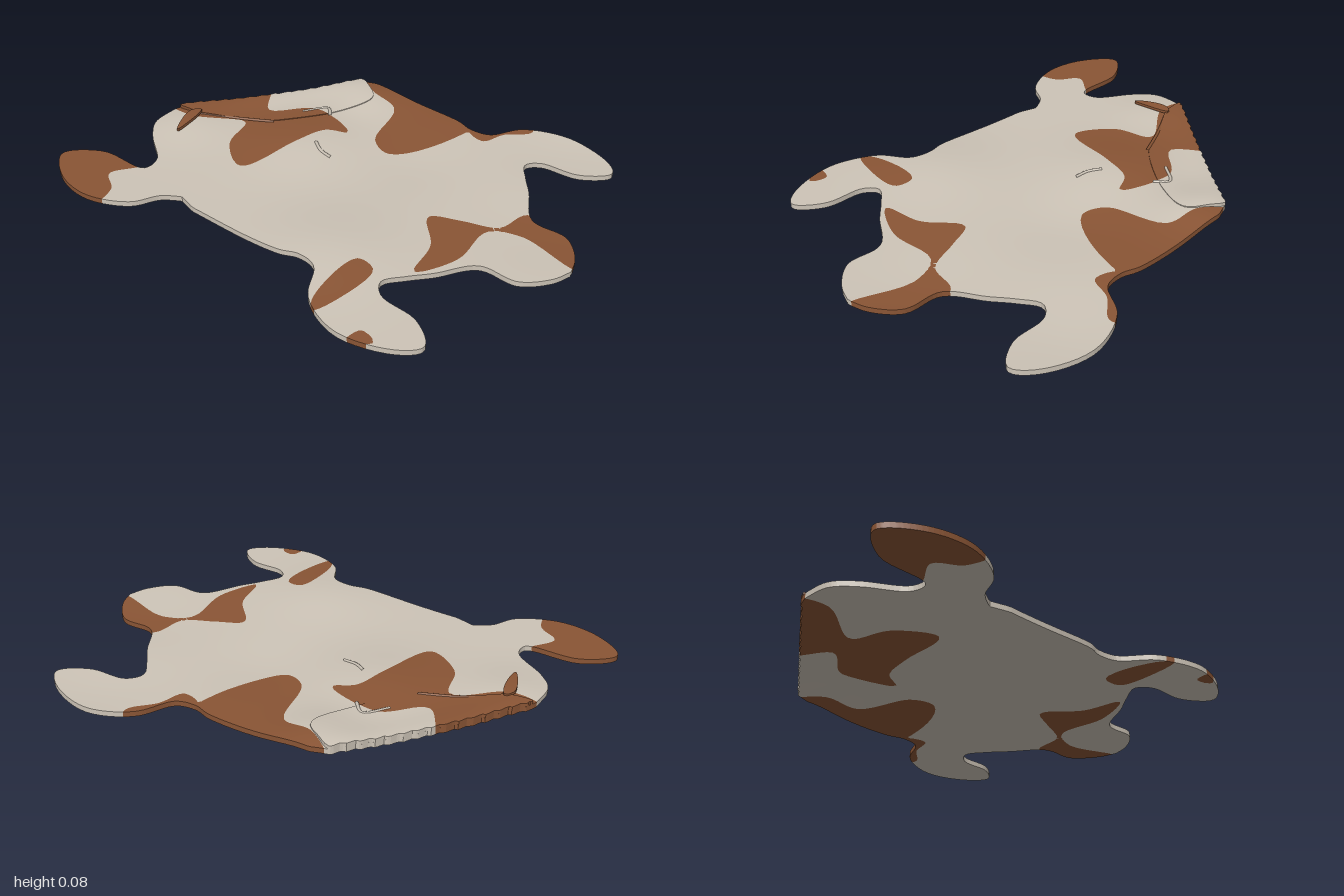
import * as THREE from 'three';

const cream = new THREE.MeshStandardMaterial({ color: 0xcdc4b7 });
cream.name = 'creamHide';
const brown = new THREE.MeshStandardMaterial({ color: 0x8a5535 });
brown.name = 'brownPatch';

// Smooth point list through a few control points (x, z pairs)
function smooth(flat, closed) {
  const pts = [];
  for (let i = 0; i < flat.length; i += 2) pts.push(new THREE.Vector3(flat[i], 0, flat[i + 1]));
  const out = new THREE.CatmullRomCurve3(pts, closed).getPoints(pts.length * 6).map(p => [p.x, p.z]);
  if (closed) out.pop();
  return out;
}

// Signed distance to a closed outline, positive inside
function field(poly) {
  return (x, z) => {
    let best = 1e9, inside = false;
    for (let i = 0, j = poly.length - 1; i < poly.length; j = i++) {
      const [ax, az] = poly[j], [bx, bz] = poly[i];
      const dx = bx - ax, dz = bz - az;
      const t = Math.min(1, Math.max(0, ((x - ax) * dx + (z - az) * dz) / (dx * dx + dz * dz || 1)));
      best = Math.min(best, (x - ax - t * dx) ** 2 + (z - az - t * dz) ** 2);
      if ((az > z) !== (bz > z) && x < ax + (z - az) / dz * dx) inside = !inside;
    }
    return (inside ? 1 : -1) * Math.sqrt(best);
  };
}

// Gentle waves of the hide: x, z, radius, height
const bumps = [
  [-0.45, 0.25, 0.26, 0.026], [0.48, -0.3, 0.16, 0.032], [0.05, -0.28, 0.25, 0.026],
  [-0.15, -0.76, 0.18, 0.022], [0.15, 0.8, 0.25, -0.014], [0.66, 0.6, 0.25, -0.017], [0.2, 0.15, 0.2, -0.01],
];
const height = (x, z) => bumps.reduce((s, [bx, bz, r, h]) =>
  s + h * Math.exp(-((x - bx) ** 2 + (z - bz) ** 2) / (r * r)), 0.047);

// Cut a polygon by f, keeping one side; 'rim' marks points on the outer edge
function cut(poly, f, sign, rim) {
  const out = [], v = poly.map(p => f(p.x, p.z) * sign);
  poly.forEach((a, i) => {
    const k = (i + 1) % poly.length, b = poly[k];
    if (v[i] >= 0) out.push(a);
    if ((v[i] >= 0) !== (v[k] >= 0)) {
      const t = v[i] / (v[i] - v[k]);
      out.push({ x: a.x + t * (b.x - a.x), z: a.z + t * (b.z - a.z), rim: rim || (a.rim && b.rim) });
    }
  });
  return out;
}

// Thick sheet over a height field, split in two colours along the patch borders
function sheet(name, outline, patches, heightAt, thick, step) {
  const inside = field(outline);
  const data = [{ p: [], n: [] }, { p: [], n: [] }];
  const normal = (x, z) => {
    const e = 0.004;
    return new THREE.Vector3(heightAt(x - e, z) - heightAt(x + e, z), 2 * e,
      heightAt(x, z - e) - heightAt(x, z + e)).normalize();
  };
  const emit = (poly, d) => {
    if (poly.length < 3) return;
    const c = poly.map(q => ({ ...q, y: heightAt(q.x, q.z), n: normal(q.x, q.z) }));
    const put = (q, dy, n, s = 1) => { d.p.push(q.x, q.y + dy, q.z); d.n.push(n.x * s, n.y * s, n.z * s); };
    const h = thick / 2;
    for (let i = 1; i < c.length - 1; i++) {
      for (const q of [c[0], c[i], c[i + 1]]) put(q, h, q.n);
      for (const q of [c[0], c[i + 1], c[i]]) put(q, -h, q.n, -1);
    }
    c.forEach((a, i) => {
      const b = c[(i + 1) % c.length];
      if (!a.rim || !b.rim) return;
      const n = new THREE.Vector3(a.z - b.z, 0, b.x - a.x).normalize();
      put(a, -h, n); put(b, -h, n); put(b, h, n);
      put(a, -h, n); put(b, h, n); put(a, h, n);
    });
  };
  const xs = outline.map(p => p[0]), zs = outline.map(p => p[1]);
  const x0 = Math.min(...xs) - step * 0.53, z0 = Math.min(...zs) - step * 0.53;
  const nx = Math.ceil((Math.max(...xs) - x0) / step) + 1, nz = Math.ceil((Math.max(...zs) - z0) / step) + 1;
  const P = (i, j) => ({ x: x0 + i * step, z: z0 + j * step, rim: false });
  for (let i = 0; i < nx; i++) for (let j = 0; j < nz; j++) {
    const mid = inside(x0 + (i + 0.5) * step, z0 + (j + 0.5) * step);
    if (mid < -step) continue;
    for (const tri of [[P(i, j), P(i, j + 1), P(i + 1, j)], [P(i + 1, j), P(i, j + 1), P(i + 1, j + 1)]]) {
      const poly = mid > step ? tri : cut(tri, inside, 1, true);
      if (poly.length < 3) continue;
      emit(cut(poly, patches, -1, false), data[0]);
      emit(cut(poly, patches, 1, false), data[1]);
    }
  }
  const group = new THREE.Group();
  group.name = name;
  data.forEach((d, k) => {
    if (!d.p.length) return;
    const g = new THREE.BufferGeometry();
    g.setAttribute('position', new THREE.Float32BufferAttribute(d.p, 3));
    g.setAttribute('normal', new THREE.Float32BufferAttribute(d.n, 3));
    const m = new THREE.Mesh(g, k ? brown : cream);
    m.name = name + (k ? 'Brown' : 'Cream');
    group.add(m);
  });
  return group;
}

// Jagged folded edge running diagonally across the back
const foldEdge = [];
for (let i = 0; i <= 60; i++) {
  const t = i / 60, tooth = 0.012 * ((t * 15) % 1) - 0.004;
  foldEdge.push([-0.11 + 0.665 * t + tooth * 0.6, -0.87 + 0.49 * t - tooth * 0.8]);
}

// Flank, front leg and half of the neck, mirrored for the other side
const side = smooth([0.575, -0.32, 0.575, 0.12, 0.553, 0.2, 0.57, 0.285, 0.7, 0.37, 0.77, 0.55, 0.71, 0.76, 0.64, 0.82,
  0.555, 0.72, 0.535, 0.56, 0.48, 0.515, 0.4, 0.565, 0.32, 0.63, 0.18, 0.73, 0.17, 0.88, 0.08, 0.97, 0, 1], false);
const mirrored = side.slice(0, -1).reverse().map(([x, z]) => [-x, z]);
const backLeg = smooth([-0.552, -0.4, -0.6, -0.47, -0.7, -0.53, -0.775, -0.7, -0.745, -0.88, -0.64, -1,
  -0.53, -0.88, -0.51, -0.66, -0.44, -0.66, -0.33, -0.8, -0.25, -0.865, -0.13, -0.872], false);
const outline = [...foldEdge, ...side, ...mirrored, ...backLeg];

// Brown patches, running past the outer edge where they reach it
const patchFields = [
  [-0.82, -0.64, -0.69, -0.65, -0.62, -0.74, -0.5, -0.68, -0.5, -1, -0.84, -1],
  [-0.1, -0.92, 0.25, -0.67, 0.12, -0.55, 0.25, -0.4, 0.19, -0.17, 0.14, -0.25, 0, -0.29, -0.26, -0.36,
    -0.17, -0.51, -0.01, -0.57, -0.13, -0.77],
  [0.62, -0.42, 0.5, -0.28, 0.47, -0.14, 0.23, -0.06, 0.19, 0.04, 0.44, 0.18, 0.64, 0.18],
  [0.54, 0.2, 0.51, 0.29, 0.61, 0.33, 0.7, 0.41, 0.76, 0.38, 0.63, 0.25],
  [-0.06, 0.42, -0.2, 0.53, -0.36, 0.57, -0.2, 0.65, 0.01, 0.64, 0.07, 0.76, 0.02, 1.03, 0.2, 1,
    0.2, 0.7, 0.06, 0.66, 0, 0.53],
  [-0.74, 0.42, -0.68, 0.38, -0.44, 0.38, -0.45, 0.46, -0.67, 0.45],
  [-0.79, 0.6, -0.71, 0.61, -0.73, 0.68],
].map(p => field(smooth(p, true)));
const patches = (x, z) => Math.max(...patchFields.map(f => f(x, z)));

export function createModel() {
  const rug = new THREE.Group();
  rug.name = 'hideRug';
  rug.add(sheet('hide', outline, patches, height, 0.022, 0.017));

  // Folded-over corner, lifted at the crease and settling into the hide
  const flapOutline = [...foldEdge,
    ...smooth([0.54, -0.35, 0.46, -0.25, 0.3, -0.3, 0.06, -0.48, -0.04, -0.66, -0.1, -0.76], false)];
  const lifted = (x, z) => {
    const d = (0.665 * (z + 0.87) - 0.49 * (x + 0.11)) / 0.826; // distance from the crease
    return height(x, z) + 0.006 + 0.012 * Math.exp(-((d / 0.09) ** 2));
  };
  rug.add(sheet('foldedCorner', flapOutline, patches, lifted, 0.016, 0.017));

  // Loose tongue of the fold
  const tongue = smooth([-0.26, -0.725, -0.12, -0.785, -0.08, -0.76, -0.13, -0.735], true);
  rug.add(sheet('foldTongue', tongue, () => 1, (x, z) => height(x, z) + 0.022, 0.012, 0.012));

  // Small raised wrinkles
  for (const [name, mat, pts] of [
    ['longWrinkle', brown, [[-0.1, -0.77], [-0.02, -0.63], [0.06, -0.47]]],
    ['curledWrinkle', cream, [[0.2, -0.43], [0.285, -0.36], [0.24, -0.31]]],
    ['shortWrinkle', cream, [[0.04, -0.22], [0.01, -0.17], [0, -0.11]]],
  ]) {
    const path = new THREE.CatmullRomCurve3(pts.map(([x, z]) => new THREE.Vector3(x, height(x, z) + 0.011, z)));
    const m = new THREE.Mesh(new THREE.TubeGeometry(path, 16, 0.007, 6), mat);
    m.name = name;
    rug.add(m);
  }
  return rug;
}
